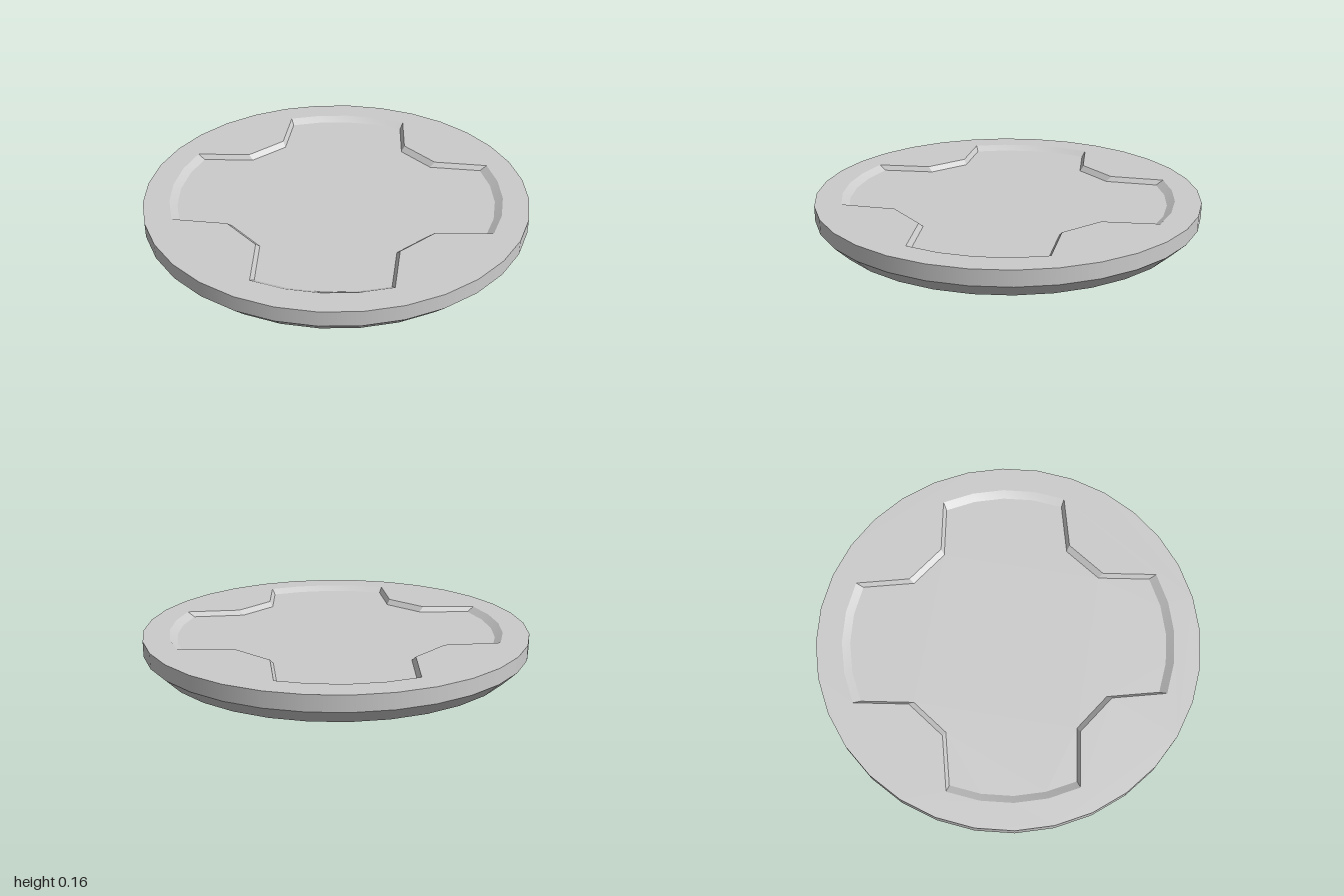
import * as THREE from 'three';
import { toCreasedNormals } from 'three/addons/utils/BufferGeometryUtils.js';

const SIDES = 32, TOP = 0.16, BEVEL = 0.08, DEPTH = 0.025, INSET = 0.955;

const polar = (r, a) => new THREE.Vector2(r * Math.cos(a), r * Math.sin(a));

// Cross-like outline: four arcs separated by four flat-ended notches
function recessOutline(scale) {
  const notchR = Math.hypot(0.61, 0.12), notchA = Math.atan2(0.12, 0.61);
  const pts = [];
  for (let k = 0; k < 4; k++) {
    const q = k * Math.PI / 2;
    pts.push(polar(notchR * scale, q + notchA));
    for (let i = 2; i <= 6; i++) pts.push(polar(0.865 * scale, q + i * 2 * Math.PI / SIDES));
    pts.push(polar(notchR * scale, q + Math.PI / 2 - notchA));
  }
  return pts;
}

export function createModel() {
  const group = new THREE.Group();
  const material = new THREE.MeshStandardMaterial({ color: 0xcccccc });
  const add = (name, geometry, y = 0) => {
    const mesh = new THREE.Mesh(geometry, material);
    mesh.name = name;
    mesh.position.y = y;
    group.add(mesh);
  };
  const lathe = (...p) => new THREE.LatheGeometry(p.map(([x, y]) => new THREE.Vector2(x, y)), SIDES);
  const flat = (shape) => new THREE.ShapeGeometry(shape).rotateX(-Math.PI / 2);

  // Disc body: softly bevelled underside and upright rim
  add('underside', lathe([0, 0], [0.91, 0], [0.925, 0.005], [1, BEVEL]));
  add('rim', lathe([1, BEVEL], [1, TOP]));

  // Top face with the recess cut out
  const upper = recessOutline(1), lower = recessOutline(INSET);
  const disc = new THREE.Shape(Array.from({ length: SIDES }, (_, i) => polar(1, i * 2 * Math.PI / SIDES)));
  disc.holes.push(new THREE.Path(upper));
  add('topFace', flat(disc), TOP);

  // Shallow recess floor
  add('recessFloor', flat(new THREE.Shape(lower)), TOP - DEPTH);

  // Sloping wall joining the top face to the floor
  const pos = [];
  upper.forEach((t0, i) => {
    const j = (i + 1) % upper.length;
    const t1 = upper[j], b0 = lower[i], b1 = lower[j];
    for (const [p, y] of [[t0, TOP], [t1, TOP], [b0, TOP - DEPTH], [t1, TOP], [b1, TOP - DEPTH], [b0, TOP - DEPTH]])
      pos.push(p.x, y, -p.y);
  });
  const wall = new THREE.BufferGeometry();
  wall.setAttribute('position', new THREE.Float32BufferAttribute(pos, 3));
  add('recessWall', toCreasedNormals(wall, Math.PI / 7));

  return group;
}
